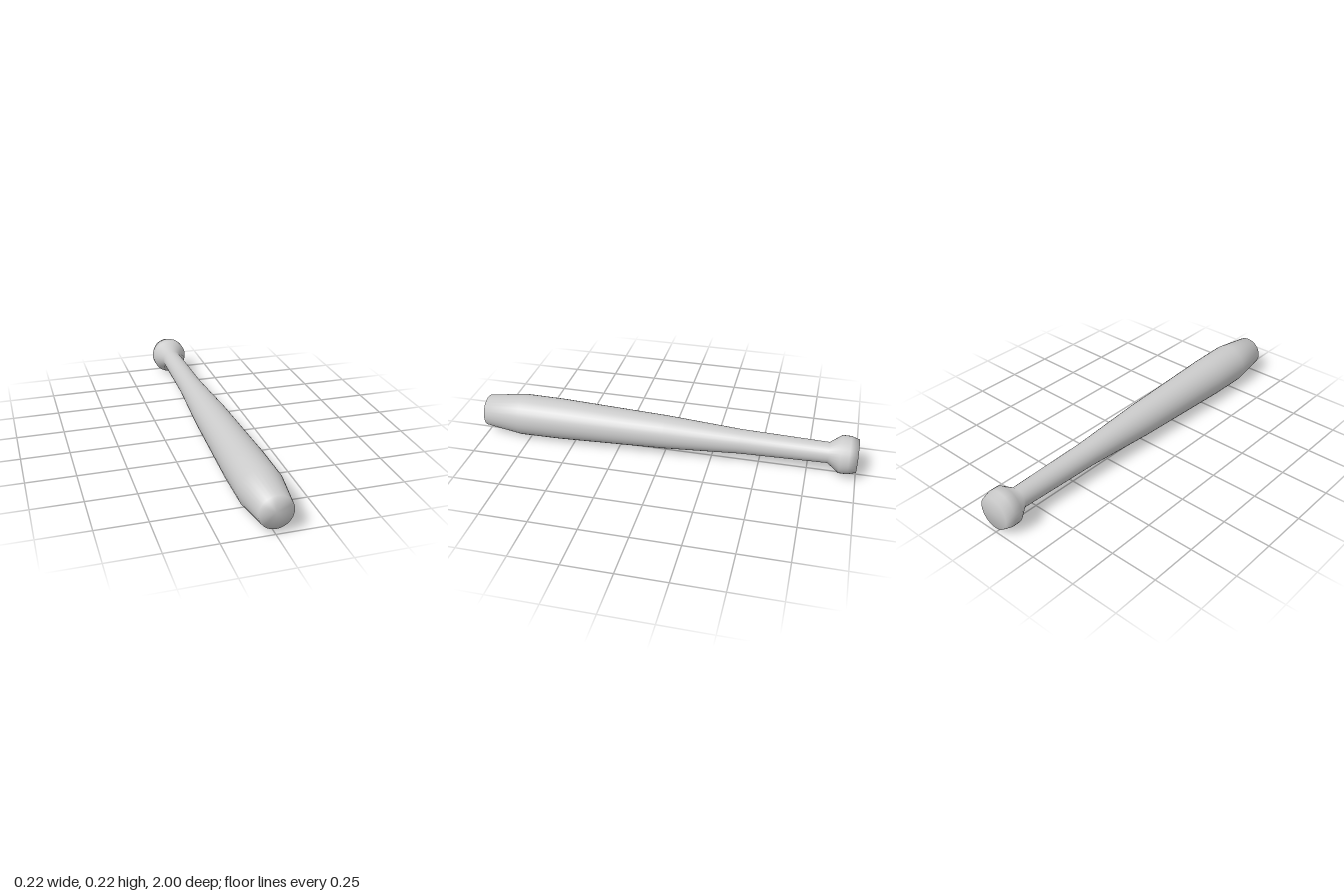
import * as THREE from 'three';

const AXIS_HEIGHT = 0.111;

// Turns a [radius, z] outline around the long axis.
function turned(name, outline) {
  const geometry = new THREE.LatheGeometry(
    outline.map(([r, z]) => new THREE.Vector2(r, z)), 32);
  geometry.rotateX(Math.PI / 2);
  const mesh = new THREE.Mesh(geometry, new THREE.MeshStandardMaterial({ color: 0xcccccc }));
  mesh.name = name;
  mesh.position.y = AXIS_HEIGHT;
  return mesh;
}

export function createModel() {
  const group = new THREE.Group();
  group.name = 'bat';

  // One smooth turned piece: knob, handle, barrel and flat tip
  group.add(turned('batBody', [
    [0, -1], [0.085, -1], [0.098, -0.957], [0.098, -0.913], // knob
    [0.054, -0.853], [0.064, -0.4],                         // handle
    [0.088, 0], [0.109, 0.58], [0.111, 0.8],                // barrel
    [0.083, 1], [0, 1],                                     // tip
  ]));

  return group;
}
